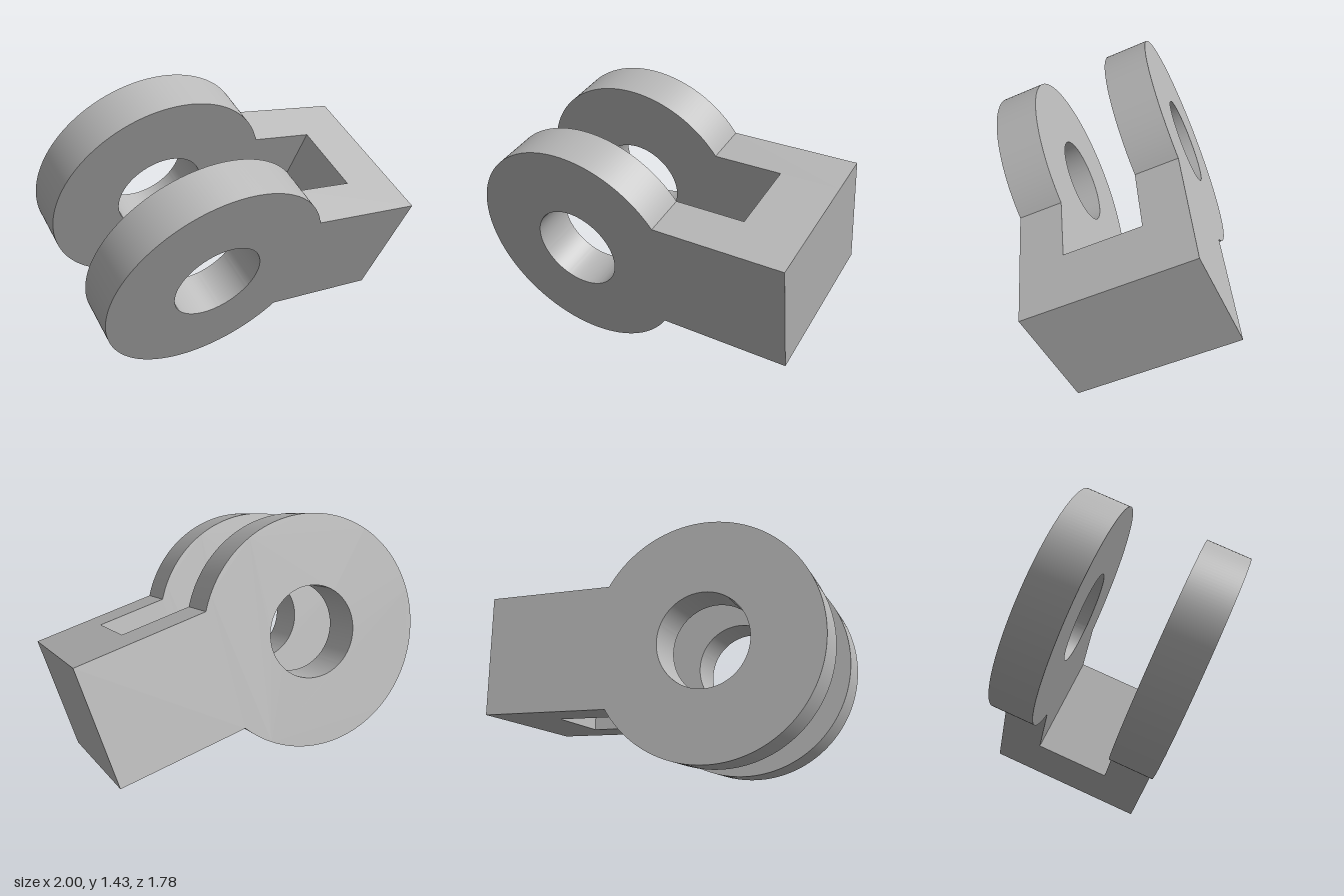
import * as THREE from 'three';
import { toCreasedNormals } from 'three/addons/utils/BufferGeometryUtils.js';

const RADIUS = 0.592;     // eye outer radius
const BORE = 0.236;       // pin hole radius
const LENGTH = 1.183;     // pin axis to end of shank
const HEIGHT = 0.626;     // shank height
const WIDTH = 0.866;      // overall width across both prongs
const PRONG = 0.231;      // prong thickness
const END = 0.312;        // solid length behind the slot

// Round eye merging into a straight shank, with a pin hole
function prongShape() {
  const h = HEIGHT / 2;
  const a = Math.asin(h / RADIUS);
  const shape = new THREE.Shape();
  shape.moveTo(LENGTH, -h);
  shape.lineTo(LENGTH, h);
  shape.absarc(0, 0, RADIUS, a, Math.PI * 2 - a, false);
  shape.closePath();
  const hole = new THREE.Path();
  hole.absarc(0, 0, BORE, 0, Math.PI * 2, true);
  shape.holes.push(hole);
  return shape;
}

export function createModel() {
  const model = new THREE.Group();
  model.name = 'clevis';
  const steel = new THREE.MeshStandardMaterial({ color: 0xb8b8b8 });
  steel.name = 'grey metal';

  const fork = new THREE.Group();
  fork.name = 'fork';
  model.add(fork);

  // Two matching prongs
  const prongGeometry = toCreasedNormals(
    new THREE.ExtrudeGeometry(prongShape(), { depth: PRONG, bevelEnabled: false, curveSegments: 72 }),
    0.4
  );
  for (const [name, z] of [['frontProng', WIDTH / 2 - PRONG], ['backProng', -WIDTH / 2]]) {
    const prong = new THREE.Mesh(prongGeometry, steel);
    prong.name = name;
    prong.position.z = z;
    fork.add(prong);
  }

  // Solid web joining the prongs at the end of the slot
  const web = new THREE.Mesh(new THREE.BoxGeometry(END, HEIGHT, WIDTH - 2 * PRONG), steel);
  web.name = 'web';
  web.position.x = LENGTH - END / 2;
  fork.add(web);

  // Tilt the fork: local z is the pin axis, local x runs along the shank
  const across = new THREE.Vector3(0.458, -0.401, 0.793).normalize();
  const along = new THREE.Vector3(0.329, 0.906, 0.265).cross(across).normalize();
  const up = new THREE.Vector3().crossVectors(across, along);
  fork.quaternion.setFromRotationMatrix(new THREE.Matrix4().makeBasis(along, up, across));
  fork.position.set(-0.279, 0.716, 0.187);

  return model;
}
